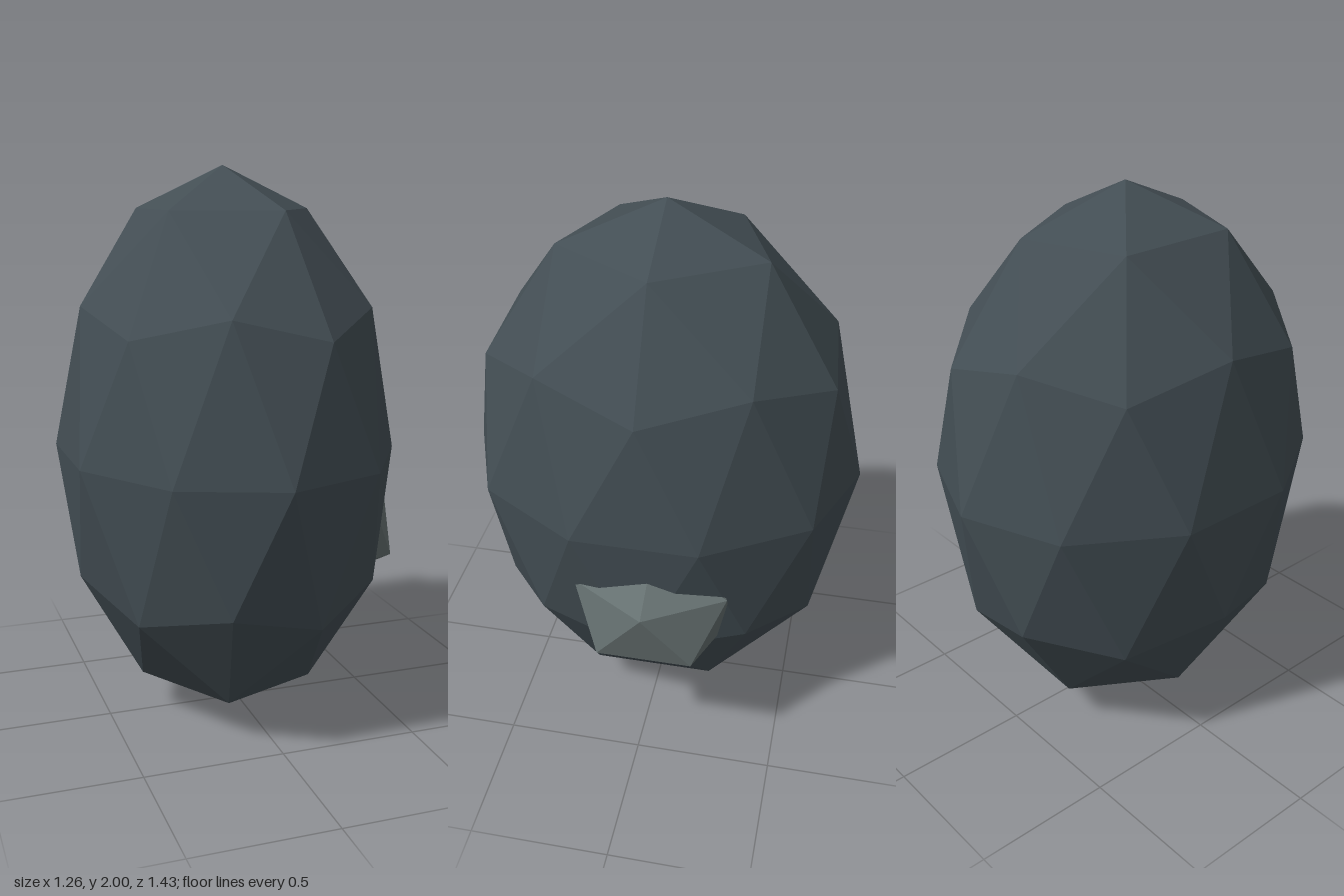
import * as THREE from 'three';

// Faceted ball standing on a corner, stretched to the given radii
function facetedBall(name, detail, color, radii, position) {
  const geometry = new THREE.IcosahedronGeometry(1, detail);
  // Turn one corner of the icosahedron to the top, with an upper-ring corner toward +x
  geometry.rotateZ(-Math.atan(2 / (1 + Math.sqrt(5))));
  geometry.scale(...radii);
  const material = new THREE.MeshStandardMaterial({ color, flatShading: true });
  const mesh = new THREE.Mesh(geometry, material);
  mesh.name = name;
  mesh.position.set(...position);
  return mesh;
}

export function createModel() {
  const model = new THREE.Group();
  model.name = 'facetedBody';

  // Tall dark egg-shaped body
  model.add(facetedBall('body', 1, 0x434e54, [0.607, 1, 0.715], [-0.053, 1, 0]));

  // Small lighter tail, half sunk into the side
  model.add(facetedBall('tail', 0, 0x646f6f, [0.264, 0.246, 0.32], [0.389, 0.66, -0.043]));

  return model;
}
